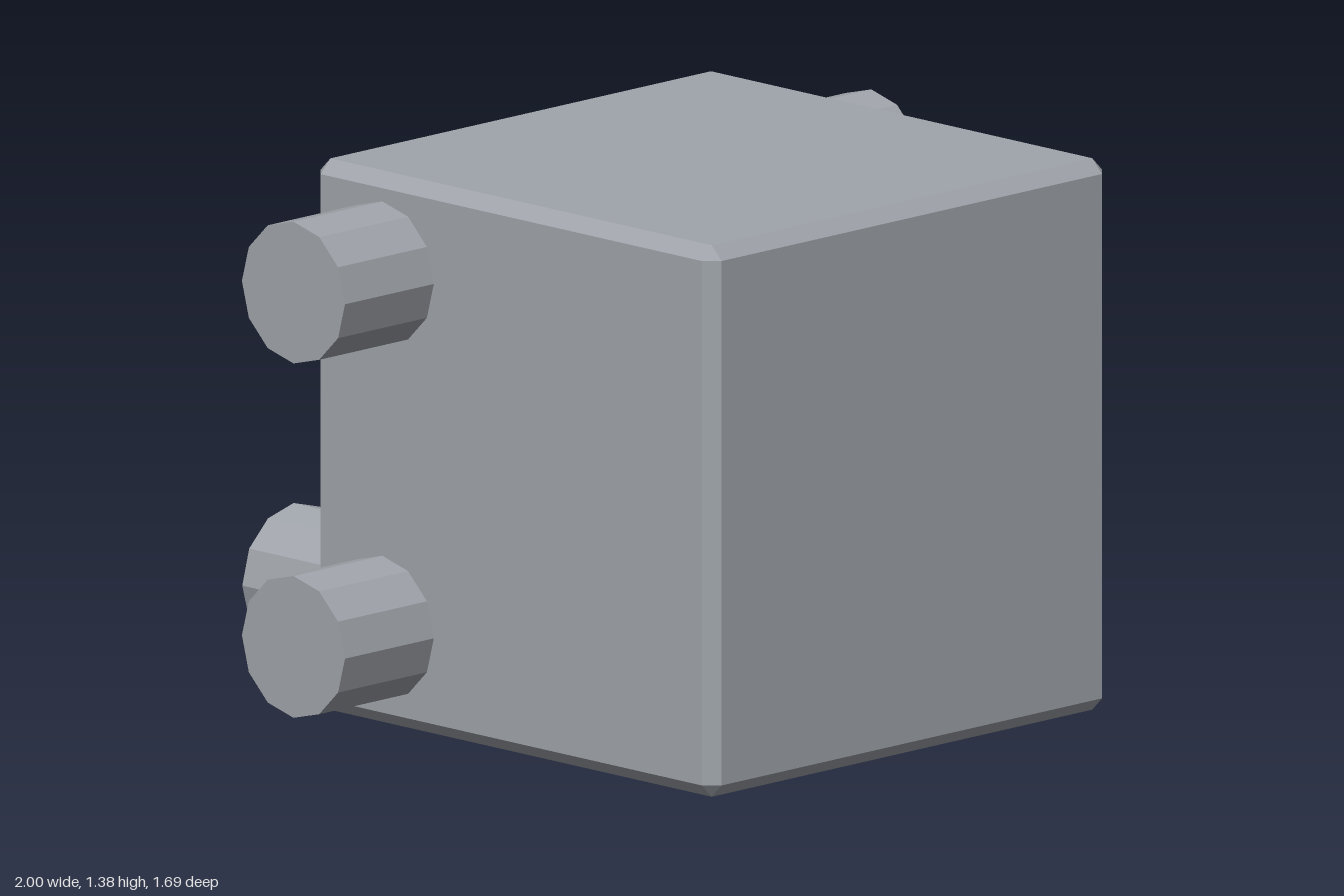
import * as THREE from 'three';
import { ConvexGeometry } from 'three/addons/geometries/ConvexGeometry.js';

const HALF = 0.6925;   // half the width of the cube
const BEVEL = 0.034;
const PIPE_R = 0.178;
const CENTER = new THREE.Vector3(0, HALF, 0.1525);

// Cube with every edge chamfered: three points near each corner
function chamferedCube(half, bevel) {
  const inner = half - bevel;
  const points = [];
  for (const x of [-1, 1]) for (const y of [-1, 1]) for (const z of [-1, 1]) {
    points.push(
      new THREE.Vector3(x * half, y * inner, z * inner),
      new THREE.Vector3(x * inner, y * half, z * inner),
      new THREE.Vector3(x * inner, y * inner, z * half)
    );
  }
  return new ConvexGeometry(points);
}

export function createModel() {
  const metal = new THREE.MeshStandardMaterial({ color: 0xa0a5ab });
  metal.name = 'greyMetal';
  metal.flatShading = true;

  const model = new THREE.Group();
  model.name = 'boxWithPipes';

  const body = new THREE.Mesh(chamferedCube(HALF, BEVEL), metal);
  body.name = 'body';
  body.position.copy(CENTER);
  model.add(body);

  // Straight twelve-sided pipe stub between two points
  function addPipe(name, from, to) {
    const dir = to.clone().sub(from);
    const length = dir.length();
    const pipe = new THREE.Mesh(new THREE.CylinderGeometry(PIPE_R, PIPE_R, length, 12), metal);
    pipe.name = name;
    pipe.position.copy(from).add(to).multiplyScalar(0.5);
    pipe.quaternion.setFromUnitVectors(new THREE.Vector3(0, 1, 0), dir.normalize());
    model.add(pipe);
  }

  // Upper and lower pipes on both sides
  for (const [side, s] of [['left', 1], ['right', -1]]) {
    for (const [level, y] of [['Upper', 1.14], ['Lower', 0.25]]) {
      addPipe(`${side}${level}Pipe`,
        new THREE.Vector3(s * (HALF - 0.02), y, -0.293),
        new THREE.Vector3(s, y, -0.293));
    }
  }

  // Single pipe low on the back
  addPipe('backPipe',
    new THREE.Vector3(-0.446, 0.25, -0.52),
    new THREE.Vector3(-0.446, 0.25, -0.845));

  return model;
}
